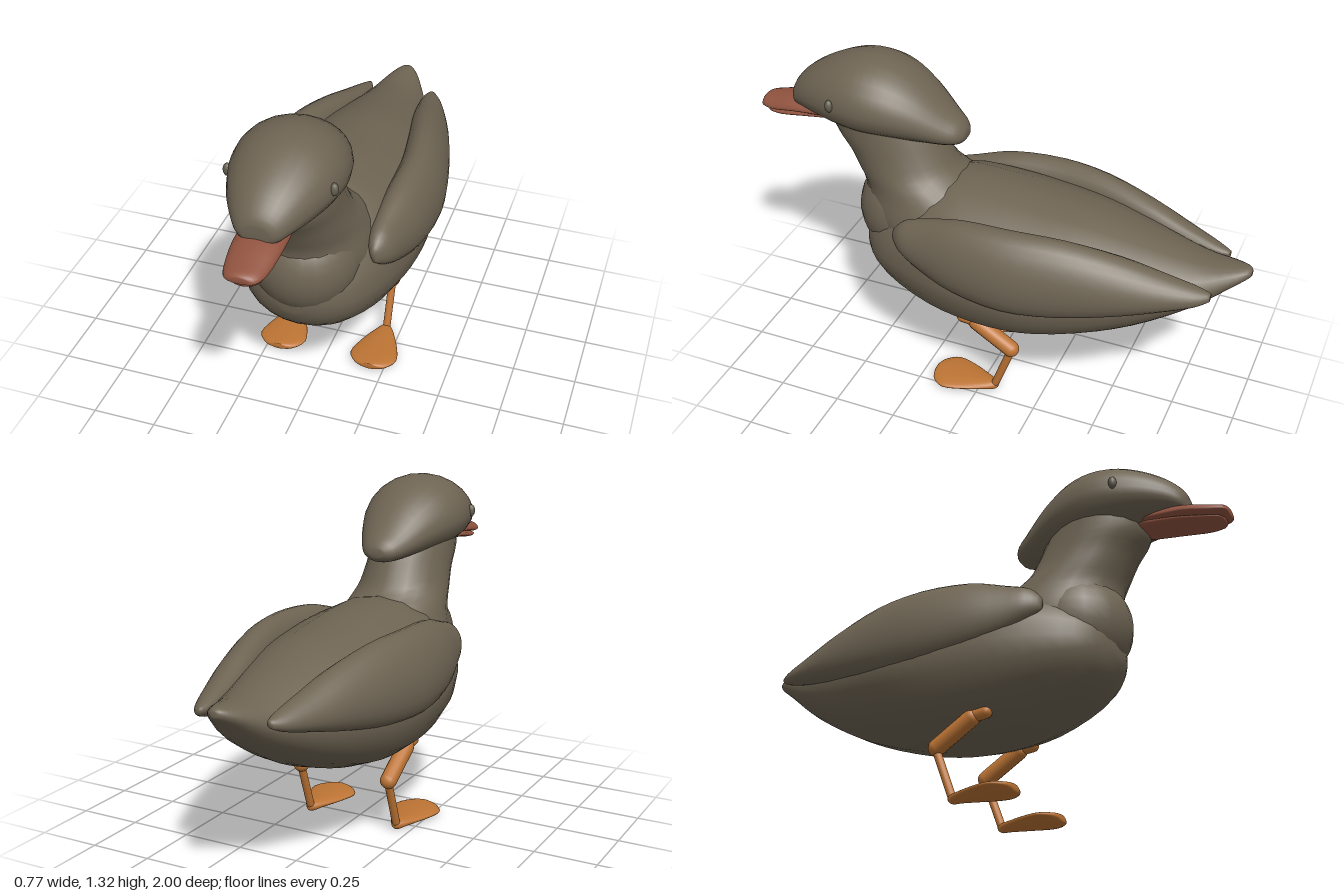
import * as THREE from 'three';

// Smooth interpolation of a table of section rows
function refine(rows, steps) {
  const out = [];
  const at = (i) => rows[Math.max(0, Math.min(rows.length - 1, i))];
  for (let i = 0; i < rows.length - 1; i++) {
    for (let s = 0; s < steps; s++) {
      const t = s / steps;
      out.push(rows[i].map((b, k) => {
        const a = at(i - 1)[k], c = at(i + 1)[k], d = at(i + 2)[k];
        return b + 0.5 * t * (c - a + t * (2 * a - 5 * b + 4 * c - d + t * (3 * (b - c) + d - a)));
      }));
    }
  }
  out.push(rows[rows.length - 1]);
  return out;
}

// Loft of oval rings, from high z to low z. Row: [z, centreX, bottom, top, halfWidth]
function loft(rows, { seg = 24, mid = 0.5, lean = 0, steps = 3, side = 1 } = {}) {
  const rings = refine(rows, steps), pos = [], idx = [];
  for (const [z, cx, bot, top, hw] of rings) {
    const m = bot + mid * (top - bot);
    for (let j = 0; j < seg; j++) {
      const a = (j / seg) * Math.PI * 2, s = Math.sin(a);
      pos.push(side * (cx + lean * hw * s) + hw * Math.cos(a), m + s * (s > 0 ? top - m : m - bot), z);
    }
  }
  const n = rings.length;
  for (let i = 0; i < n - 1; i++) {
    for (let j = 0; j < seg; j++) {
      const k = (j + 1) % seg;
      const a = i * seg + j, b = i * seg + k, c = a + seg, d = b + seg;
      idx.push(a, c, b, b, c, d);
    }
  }
  // End caps
  for (const [ring, front] of [[0, true], [n - 1, false]]) {
    const [z, cx, bot, top] = rings[ring];
    const centre = pos.length / 3;
    pos.push(side * cx, (bot + top) / 2, z);
    for (let j = 0; j < seg; j++) {
      const a = ring * seg + j, b = ring * seg + (j + 1) % seg;
      idx.push(centre, front ? a : b, front ? b : a);
    }
  }
  const g = new THREE.BufferGeometry();
  g.setAttribute('position', new THREE.Float32BufferAttribute(pos, 3));
  g.setIndex(idx);
  g.computeVertexNormals();
  return g;
}

export function createModel() {
  const group = new THREE.Group();
  const mat = (name, color) => {
    const m = new THREE.MeshStandardMaterial({ color });
    m.name = name;
    return m;
  };
  const feather = mat('brown feathers', 0x6e6453);
  const orange = mat('orange legs', 0xbd7434);
  const bill = mat('reddish bill', 0x925440);
  const eyeGrey = mat('grey eyes', 0x635f50);

  const add = (name, geometry, material, parent = group) => {
    const mesh = new THREE.Mesh(geometry, material);
    mesh.name = name;
    parent.add(mesh);
    return mesh;
  };

  // Body with pointed tail
  add('body', loft([
    [0.54, 0, 0.53, 0.63, 0.05], [0.5, 0, 0.45, 0.7, 0.15], [0.4, 0, 0.37, 0.78, 0.24],
    [0.2, 0, 0.295, 0.87, 0.315], [0, 0, 0.275, 0.872, 0.345], [-0.2, 0, 0.29, 0.852, 0.345],
    [-0.4, 0, 0.34, 0.83, 0.305], [-0.6, 0, 0.42, 0.785, 0.235], [-0.8, 0, 0.54, 0.742, 0.145],
    [-0.93, 0, 0.65, 0.742, 0.075], [-0.985, 0, 0.695, 0.742, 0.035], [-1, 0, 0.71, 0.732, 0.012],
  ], { seg: 20, mid: 0.46 }), feather);

  // Rounded breast
  const breast = add('breast', new THREE.SphereGeometry(0.21, 24, 16), feather);
  breast.position.set(0, 0.68, 0.37);

  // Neck: lofted along z, then stood upright
  add('neck', loft([
    [1.14, 0, -0.68, -0.32, 0.16], [1.03, 0, -0.68, -0.25, 0.165], [0.95, 0, -0.625, -0.21, 0.17],
    [0.88, 0, -0.585, -0.165, 0.182], [0.8, 0, -0.55, -0.05, 0.203], [0.68, 0, -0.54, 0, 0.23],
    [0.5, 0, -0.46, -0.05, 0.2],
  ]).rotateX(-Math.PI / 2), feather);

  // Head with swept-back crest
  add('head', loft([
    [0.845, 0, 1.07, 1.13, 0.05], [0.83, 0, 1.05, 1.165, 0.08], [0.78, 0, 1.045, 1.215, 0.118],
    [0.7, 0, 1.035, 1.265, 0.16], [0.6, 0, 1.02, 1.305, 0.193], [0.5, 0, 1.01, 1.315, 0.205],
    [0.4, 0, 1.01, 1.292, 0.19], [0.3, 0, 1.01, 1.232, 0.152], [0.2, 0, 1.008, 1.14, 0.1],
    [0.15, 0, 1.015, 1.1, 0.065], [0.13, 0, 1.035, 1.07, 0.03],
  ], { mid: 0.45 }), feather);

  // Upper and lower bill
  add('upperBill', loft([
    [1, 0, 1.015, 1.04, 0.035], [0.985, 0, 1.01, 1.05, 0.06], [0.93, 0, 1.01, 1.062, 0.078],
    [0.83, 0, 1.025, 1.085, 0.088], [0.68, 0, 1.035, 1.09, 0.085],
  ], { mid: 0.3 }), bill);
  add('lowerBill', loft([
    [0.98, 0, 0.992, 1.006, 0.025], [0.96, 0, 0.987, 1.012, 0.052], [0.9, 0, 0.99, 1.02, 0.068],
    [0.8, 0, 1.005, 1.04, 0.075], [0.66, 0, 1.02, 1.06, 0.07],
  ]), bill);

  // Straight rounded limb between two points
  const limb = (name, from, to, r, parent) => {
    const a = new THREE.Vector3(...from), b = new THREE.Vector3(...to);
    const dir = b.clone().sub(a);
    const mesh = add(name, new THREE.CapsuleGeometry(r, dir.length(), 6, 14), orange, parent);
    mesh.position.copy(a).add(b).multiplyScalar(0.5);
    mesh.quaternion.setFromUnitVectors(new THREE.Vector3(0, 1, 0), dir.normalize());
  };

  for (const side of [1, -1]) {
    const label = side > 0 ? 'left' : 'right';

    // Folded wing
    add(label + 'Wing', loft([
      [0.335, 0.25, 0.67, 0.72, 0.012], [0.29, 0.257, 0.635, 0.765, 0.045],
      [0.2, 0.265, 0.588, 0.795, 0.065], [0.05, 0.283, 0.545, 0.835, 0.085],
      [-0.15, 0.292, 0.525, 0.847, 0.092], [-0.35, 0.265, 0.535, 0.838, 0.09],
      [-0.55, 0.222, 0.57, 0.795, 0.083], [-0.7, 0.188, 0.605, 0.747, 0.066],
      [-0.83, 0.158, 0.638, 0.708, 0.04], [-0.885, 0.145, 0.662, 0.69, 0.014],
    ], { lean: -0.25, side }), feather);

    // Eye
    const eye = add(label + 'Eye', new THREE.SphereGeometry(1, 14, 10), eyeGrey);
    eye.scale.set(0.016, 0.025, 0.016);
    eye.position.set(side * 0.19, 1.165, 0.61);

    // Leg and webbed foot
    const leg = new THREE.Group();
    leg.name = label + 'Leg';
    group.add(leg);
    const x = side * 0.195;
    limb('hip', [x, 0.333, 0.075], [x, 0.325, 0], 0.025, leg);
    limb('thigh', [x, 0.32, 0.015], [x, 0.229, -0.13], 0.033, leg);
    limb('shin', [x, 0.215, -0.13], [x, 0.033, -0.065], 0.016, leg);
    const foot = add('foot', loft([
      [0.195, 0, 0.01, 0.034, 0.03], [0.18, 0, 0.004, 0.037, 0.066], [0.13, 0, 0.003, 0.038, 0.097],
      [0.05, 0, 0.003, 0.038, 0.077], [-0.03, 0, 0.002, 0.038, 0.04],
      [-0.06, 0, 0, 0.036, 0.022], [-0.075, 0, 0.01, 0.028, 0.01],
    ]), orange, leg);
    foot.position.x = x;
  }
  return group;
}
